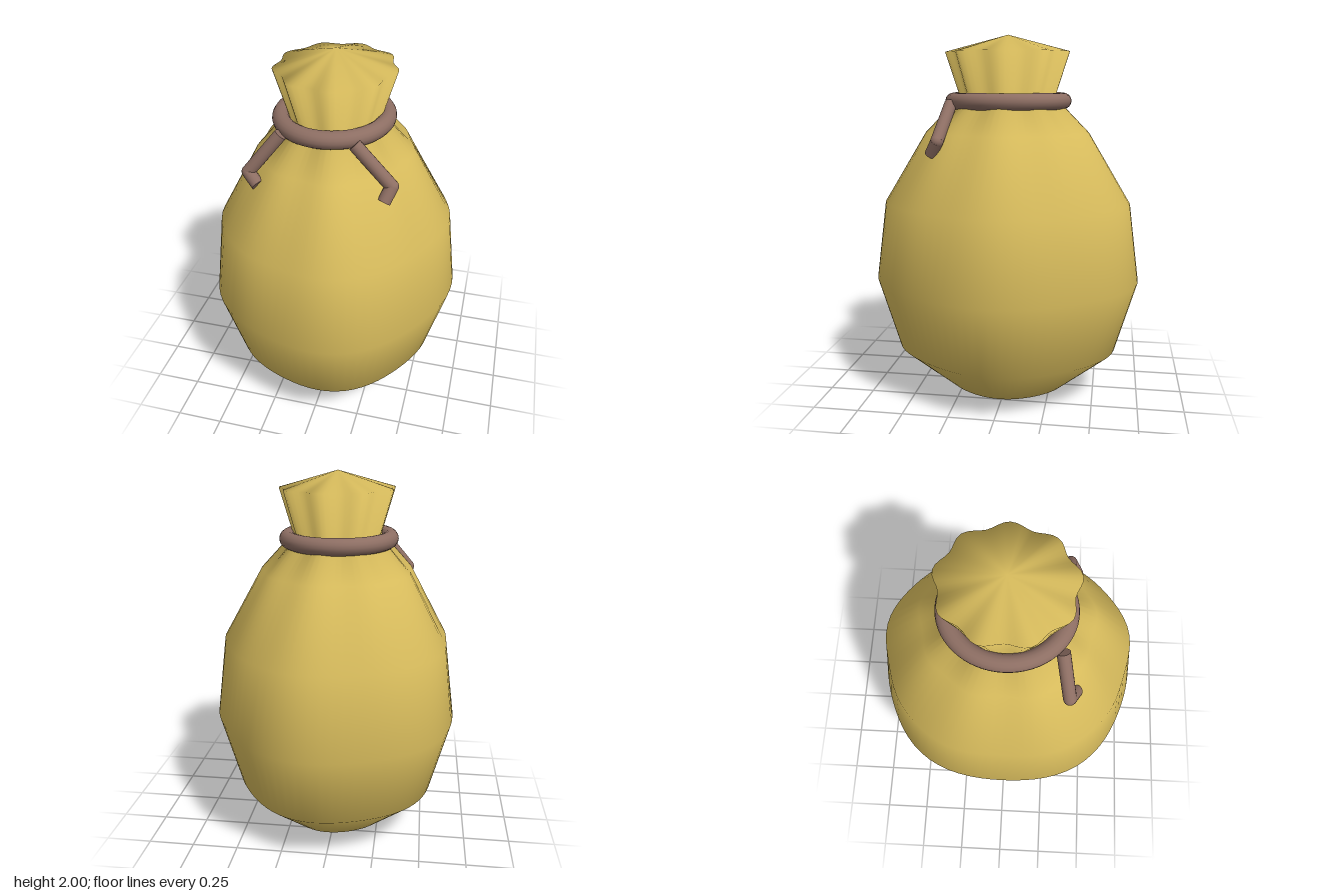
import * as THREE from 'three';

const burlap = new THREE.MeshStandardMaterial({ color: 0xd9bd5d });
burlap.name = 'burlap';
const rope = new THREE.MeshStandardMaterial({ color: 0x8d6e63 });
rope.name = 'rope';

// Bag rings from bottom to top: height, x radius, broad lump size, fold size
const RINGS = [
  [0.03, 0.305, 0.012, 0],
  [0.27, 0.565, 0.018, 0],
  [0.67, 0.672, 0.018, 0],
  [1.1, 0.617, 0.018, 0.006],
  [1.48, 0.405, 0.012, 0.022],
  [1.67, 0.232, 0, 0.05],
  [1.91, 0.3, 0, 0.05],
];
const DEPTH = 1.09; // the bag is slightly deeper than wide
const SIDES = 72;

// Gathered sack: closed rings between a bottom and a top point, all smooth
function bagGeometry() {
  const pos = [];
  const index = [];
  for (const [y, radius, lump, fold] of RINGS) {
    for (let i = 0; i < SIDES; i++) {
      const a = (i / SIDES) * Math.PI * 2;
      const r = radius * (1 + lump * Math.cos(5 * a) + fold * Math.cos(9 * a));
      pos.push(r * Math.cos(a), y, r * DEPTH * Math.sin(a));
    }
  }
  const bottom = pos.length / 3;
  const top = bottom + 1;
  pos.push(0, 0, 0, 0, 2, 0);
  const last = (RINGS.length - 1) * SIDES;
  for (let i = 0; i < SIDES; i++) {
    const j = (i + 1) % SIDES;
    index.push(bottom, i, j, top, last + j, last + i);
    for (let k = 0; k < last; k += SIDES) {
      index.push(k + i, k + SIDES + i, k + j);
      index.push(k + j, k + SIDES + i, k + SIDES + j);
    }
  }
  const g = new THREE.BufferGeometry();
  g.setAttribute('position', new THREE.Float32BufferAttribute(pos, 3));
  g.setIndex(index);
  g.computeVertexNormals();
  return g;
}

// One loose rope end: straight pieces with rounded bends
function ropeEnd(name, points, radius = 0.034) {
  const group = new THREE.Group();
  group.name = name;
  const pts = points.map((p) => new THREE.Vector3(...p));
  for (let i = 0; i < pts.length - 1; i++) {
    const dir = pts[i + 1].clone().sub(pts[i]);
    const piece = new THREE.Mesh(new THREE.CylinderGeometry(radius, radius, dir.length(), 16), rope);
    piece.name = 'ropePiece';
    piece.position.copy(pts[i]).addScaledVector(dir, 0.5);
    piece.quaternion.setFromUnitVectors(new THREE.Vector3(0, 1, 0), dir.normalize());
    group.add(piece);
    if (i > 0) {
      const bend = new THREE.Mesh(new THREE.SphereGeometry(radius, 16, 12), rope);
      bend.name = 'ropeBend';
      bend.position.copy(pts[i]);
      group.add(bend);
    }
  }
  return group;
}

export function createModel() {
  const model = new THREE.Group();
  model.name = 'tiedSack';

  const bag = new THREE.Mesh(bagGeometry(), burlap);
  bag.name = 'bag';
  model.add(bag);

  // Rope ring around the neck, stretched to the bag's oval
  const ringGeometry = new THREE.TorusGeometry(0.274, 0.045, 16, 64);
  ringGeometry.rotateX(Math.PI / 2).scale(1, 1, DEPTH);
  const ring = new THREE.Mesh(ringGeometry, rope);
  ring.name = 'neckRope';
  ring.position.set(-0.007, 1.648, 0);
  model.add(ring);

  model.add(
    ropeEnd('rightRopeEnd', [[-0.21, 1.64, 0.275], [-0.375, 1.435, 0.325], [-0.315, 1.385, 0.36]]),
    ropeEnd('leftRopeEnd', [[0.165, 1.635, 0.285], [0.36, 1.45, 0.315], [0.33, 1.38, 0.355]]),
  );
  return model;
}
